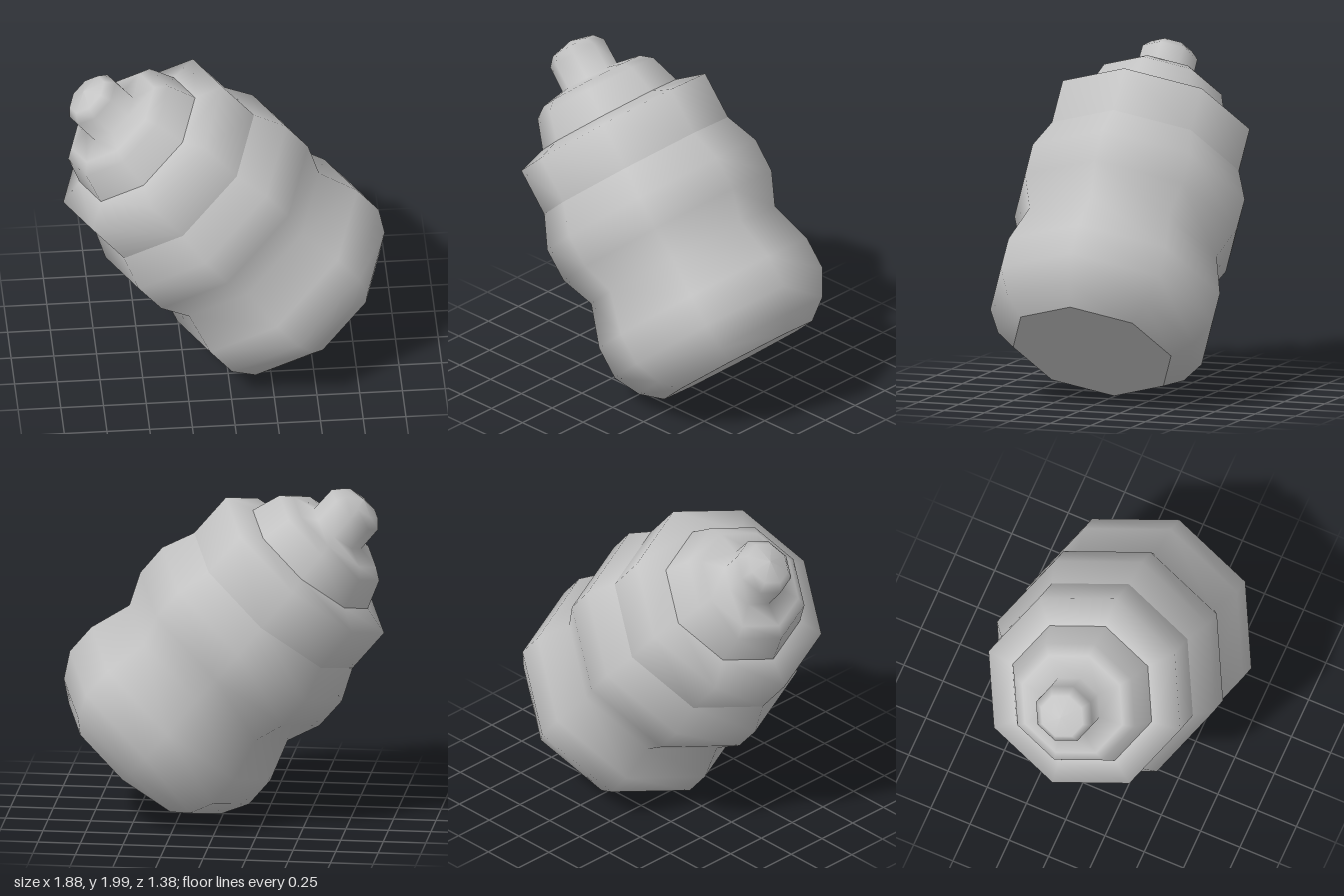
import * as THREE from 'three';

const SIDES = 8;

export function createModel() {
  const grey = new THREE.MeshStandardMaterial({ color: 0xc4c4c4 });
  grey.name = 'light grey';

  const bottle = new THREE.Group();
  bottle.name = 'tiltedBottle';

  // Each part is an eight-sided lathe; separate profiles keep the edges between parts sharp
  const turn = (name, profile) => {
    const points = profile.map(([r, y]) => new THREE.Vector2(r, y));
    const mesh = new THREE.Mesh(new THREE.LatheGeometry(points, SIDES), grey);
    mesh.name = name;
    bottle.add(mesh);
  };

  // Flat underside
  turn('base', [[0, 0], [0.49, 0]]);

  // Two rounded bulges with a waist between them
  turn('body', [
    [0.49, 0], [0.607, 0.094], [0.69, 0.246], [0.69, 0.442], [0.61, 0.693],
    [0.69, 0.887], [0.692, 1.09], [0.61, 1.283],
  ]);

  // Screw collar with a slightly sloped top
  turn('collar', [[0.61, 1.283], [0.61, 1.57], [0.443, 1.619]]);

  // Soft dome and teat
  turn('teat', [
    [0.443, 1.619], [0.384, 1.793], [0.319, 1.842], [0.181, 1.867],
    [0.179, 2.024], [0.133, 2.076], [0, 2.107],
  ]);

  // Lean the bottle so it balances on its lower rim
  bottle.rotation.z = THREE.MathUtils.degToRad(40.25);
  bottle.position.set(0.535, 0.325, 0);

  const model = new THREE.Group();
  model.name = 'babyBottle';
  model.add(bottle);
  return model;
}
